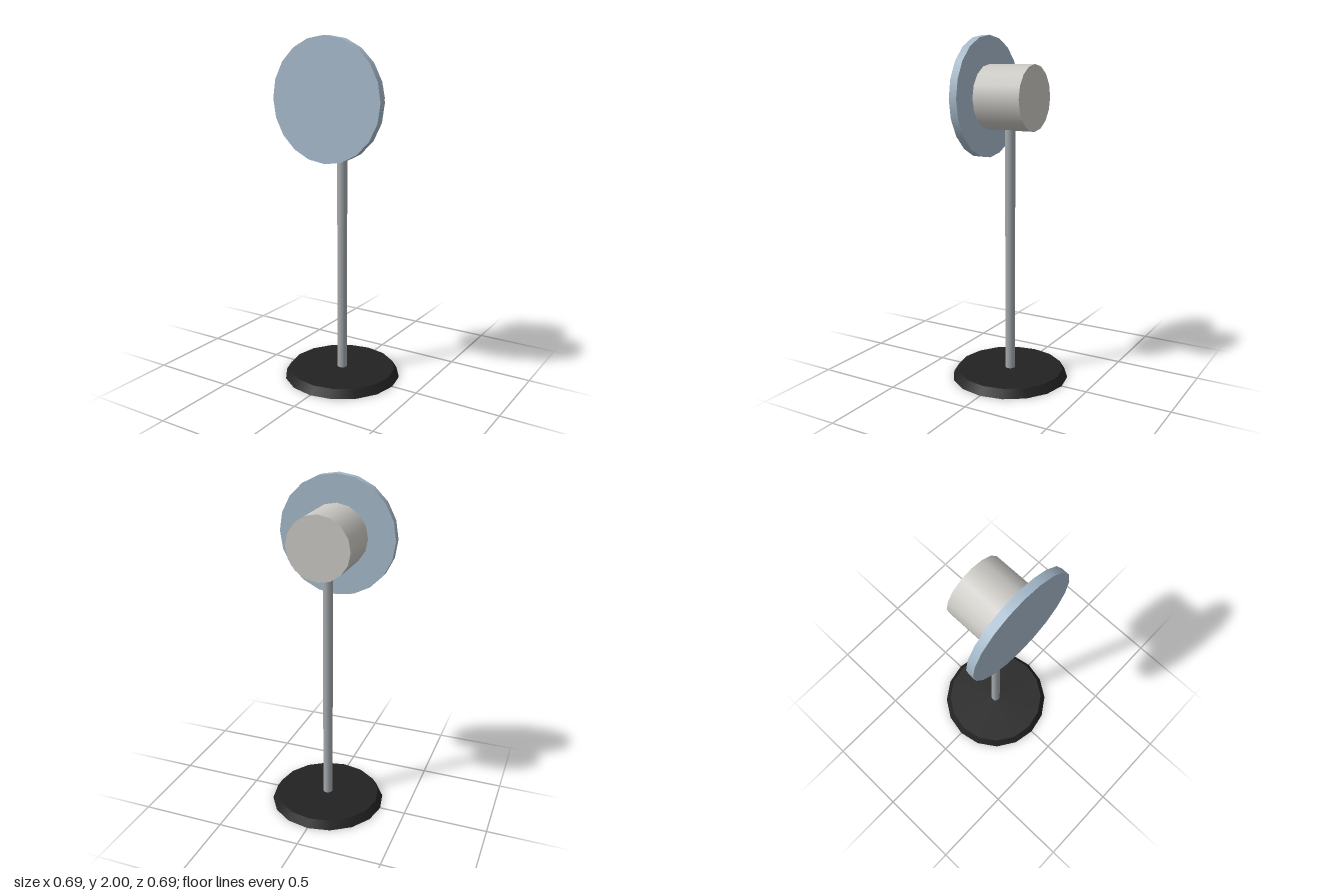
import * as THREE from 'three';

const material = (name, color) => {
  const m = new THREE.MeshStandardMaterial({ color });
  m.name = name;
  return m;
};

export function createModel() {
  const group = new THREE.Group();
  const black = material('black', 0x222222);
  const steel = material('steel grey', 0xa4a9ac);
  const warmGrey = material('warm grey', 0xcac8c3);
  const paleBlue = material('pale blue', 0xa5b9ca);

  // Upright cylinder from y = from to y = to
  function upright(name, rTop, rBottom, from, to, sides, mat) {
    const geo = new THREE.CylinderGeometry(rTop, rBottom, to - from, sides);
    geo.translate(0, (from + to) / 2, 0);
    const mesh = new THREE.Mesh(geo, mat);
    mesh.name = name;
    group.add(mesh);
  }

  // Cylinder lying along z at head height
  const headY = 1.655;
  function lying(name, radius, from, to, sides, mat) {
    const geo = new THREE.CylinderGeometry(radius, radius, to - from, sides);
    geo.rotateX(Math.PI / 2);
    geo.translate(0, headY, (from + to) / 2);
    const mesh = new THREE.Mesh(geo, mat);
    mesh.name = name;
    group.add(mesh);
  }

  // Stand
  upright('base', 0.315, 0.345, 0, 0.048, 16, black);
  upright('pole', 0.029, 0.029, 0.01, 1.5, 12, steel);

  // Head: drum housing with a wide disc on its front
  lying('drum', 0.185, -0.157, 0.134, 16, warmGrey);
  lying('frontDisc', 0.345, 0.133, 0.18, 20, paleBlue);

  return group;
}
